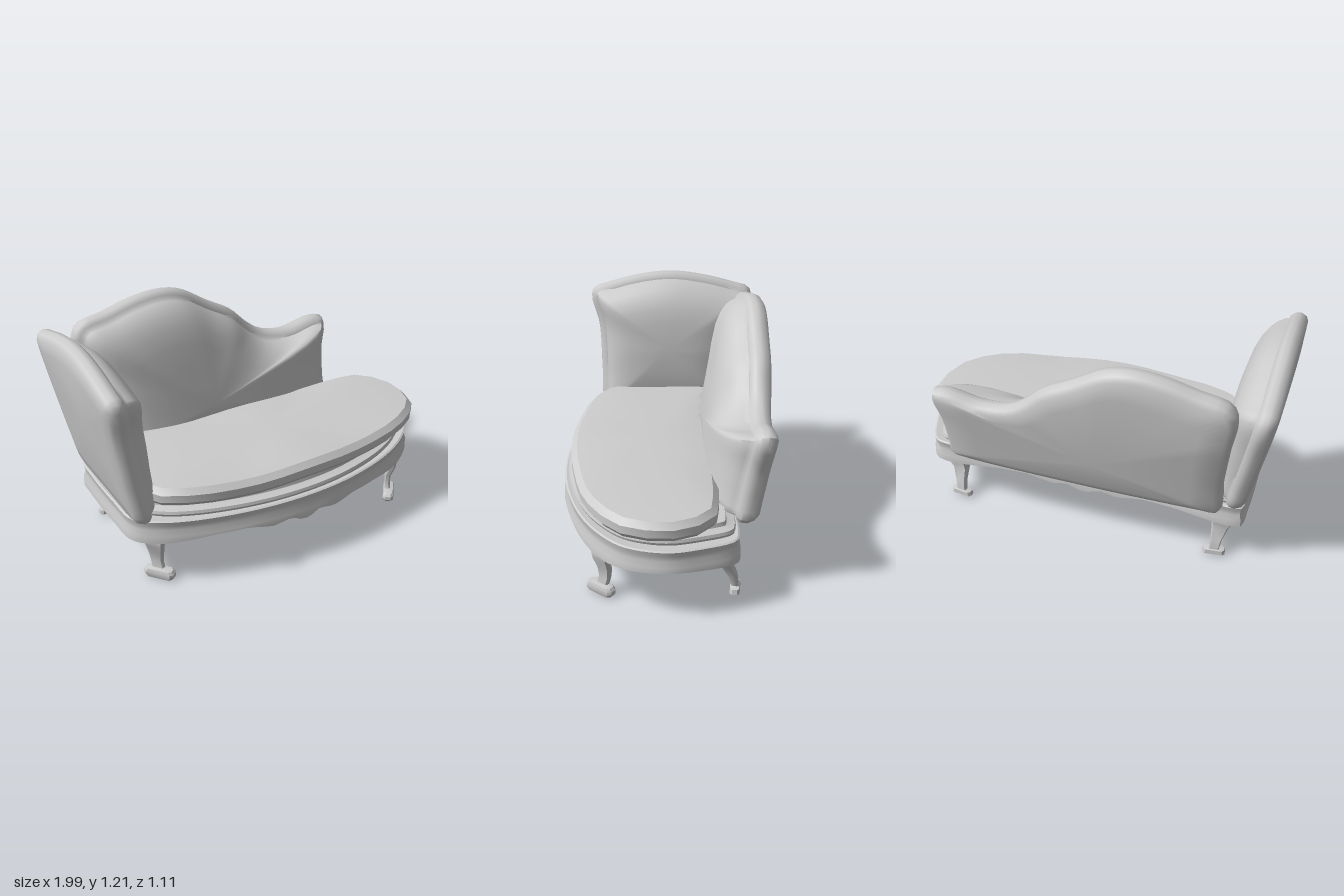
import * as THREE from 'three';
import { toCreasedNormals } from 'three/addons/utils/BufferGeometryUtils.js';

const material = new THREE.MeshStandardMaterial({ color: 0xcccccc });

// Skin a stack of closed rings (arrays of Vector3), facing outward.
function loft(name, rings, crease) {
  const tris = [];
  const add = (a, b, c) => {
    const t = new THREE.Triangle(a, b, c);
    if (t.getArea() > 1e-9) tris.push([a, b, c]);
  };
  for (let i = 0; i < rings.length - 1; i++) {
    const p = rings[i], q = rings[i + 1], n = p.length;
    for (let j = 0; j < n; j++) {
      const k = (j + 1) % n;
      add(p[j], p[k], q[k]);
      add(p[j], q[k], q[j]);
    }
  }
  const cross = new THREE.Vector3();
  const volume = tris.reduce((s, [a, b, c]) => s + a.dot(cross.crossVectors(b, c)), 0);
  const points = tris.flatMap(([a, b, c]) => (volume < 0 ? [a, c, b] : [a, b, c]));
  const geometry = toCreasedNormals(new THREE.BufferGeometry().setFromPoints(points), crease);
  const mesh = new THREE.Mesh(geometry, material);
  mesh.name = name;
  return mesh;
}

// Even, smooth samples round a closed outline, wound counter-clockwise.
function outline(points, count) {
  const curve = new THREE.CatmullRomCurve3(points.map(([a, b]) => new THREE.Vector3(a, b, 0)), true);
  const out = curve.getSpacedPoints(count).slice(0, count).map((p) => new THREE.Vector2(p.x, p.y));
  return THREE.ShapeUtils.area(out) < 0 ? out.reverse() : out;
}

// Copy of an outline moved inward, then scaled about a centre.
function shrink(loop, inset, scale, centre) {
  return loop.map((p, i) => {
    const a = loop[(i + loop.length - 1) % loop.length], b = loop[(i + 1) % loop.length];
    const t = b.clone().sub(a).normalize();
    return new THREE.Vector2(p.x - t.y * inset, p.y + t.x * inset).sub(centre).multiplyScalar(scale).add(centre);
  });
}

// Profile rows are [inset, scale, depth]; place turns (a, b, depth) into a point.
function solid(name, loop, centre, profile, place, crease) {
  const c = new THREE.Vector2(...centre);
  return loft(name, profile.map(([inset, scale, depth]) =>
    shrink(loop, inset, scale, c).map((p) => place(p.x, p.y, depth))), crease);
}

// Linear interpolation through [input, output] pairs.
function ramp(pairs, v) {
  if (v <= pairs[0][0]) return pairs[0][1];
  for (let i = 1; i < pairs.length; i++) {
    const [x0, y0] = pairs[i - 1], [x1, y1] = pairs[i];
    if (v <= x1) return y0 + ((y1 - y0) * (v - x0)) / (x1 - x0);
  }
  return pairs[pairs.length - 1][1];
}

// Rounded outer roll swelling into a padded face
const upholstery = [
  [0.03, 0, -0.07], [0.03, 0.8, -0.07], [0.04, 1, -0.062], [0.015, 1, -0.045],
  [0, 1, -0.01], [0.005, 1, 0.025], [0.025, 1, 0.048], [0.04, 1, 0.052],
  [0.04, 0.985, 0.075], [0.04, 0.95, 0.108], [0.04, 0.88, 0.143], [0.04, 0.78, 0.174],
  [0.04, 0.62, 0.2], [0.04, 0.4, 0.215], [0.04, 0.2, 0.22], [0.04, 0, 0.222],
];

// Scalloped lower edge of the apron
const scallop = [
  [0, 0.232], [0.04, 0.24], [0.08, 0.265], [0.13, 0.258], [0.18, 0.245], [0.24, 0.255],
  [0.32, 0.272], [0.5, 0.268], [0.62, 0.255], [0.75, 0.243], [0.86, 0.243], [0.95, 0.253], [1, 0.26],
];

// Leg sections: [y, x, z, width, thickness]
const frontLeg = [
  [0.29, 0.75, 0.29, 0, 0], [0.29, 0.75, 0.29, 0.09, 0.04], [0.24, 0.757, 0.313, 0.125, 0.045],
  [0.2, 0.752, 0.315, 0.1, 0.04], [0.14, 0.74, 0.3, 0.08, 0.035], [0.09, 0.737, 0.3, 0.065, 0.03],
  [0.055, 0.735, 0.31, 0.065, 0.03], [0.05, 0.735, 0.322, 0.14, 0.05], [0.035, 0.735, 0.322, 0.165, 0.06],
  [0.015, 0.735, 0.322, 0.165, 0.06], [0, 0.735, 0.322, 0.14, 0.05], [0, 0.735, 0.322, 0, 0],
];
const backLeg = [
  [0.3, 0.77, -0.3, 0, 0], [0.3, 0.77, -0.3, 0.14, 0.06], [0.24, 0.765, -0.3, 0.13, 0.06],
  [0.17, 0.75, -0.295, 0.09, 0.05], [0.1, 0.74, -0.33, 0.06, 0.04], [0.045, 0.735, -0.342, 0.055, 0.035],
  [0.04, 0.735, -0.342, 0.11, 0.045], [0.015, 0.735, -0.342, 0.12, 0.05], [0.01, 0.735, -0.342, 0, 0],
];

// Flat curved leg, its broad face turned by an angle about the vertical
function leg(name, sections, side, angle) {
  const corners = [[-1, -0.5], [-0.8, -1], [0.8, -1], [1, -0.5], [1, 0.5], [0.8, 1], [-0.8, 1], [-1, 0.5]];
  const c = Math.cos(angle), s = Math.sin(angle);
  return loft(name, sections.map(([y, x, z, w, d]) => corners.map(([a, b]) => {
    const u = (a * w) / 2, v = (b * d) / 2;
    return new THREE.Vector3(side * (x + u * c + v * s), y, z - u * s + v * c);
  })), 0.6);
}

export function createModel() {
  const group = new THREE.Group();
  const flat = (x, z, y) => new THREE.Vector3(x, y, z);

  // Apron frame with a recessed underside; depth 0 follows the scalloped edge
  const base = outline([
    [-0.86, -0.35], [-0.875, -0.2], [-0.875, 0.1], [-0.86, 0.28], [-0.77, 0.37], [-0.6, 0.45], [-0.3, 0.525],
    [0, 0.55], [0.3, 0.525], [0.6, 0.44], [0.8, 0.33], [0.93, 0.2], [0.985, 0], [0.95, -0.17], [0.88, -0.33],
    [0.82, -0.355], [0.4, -0.345], [0, -0.345], [-0.4, -0.345], [-0.82, -0.36],
  ], 128);
  group.add(solid('apron', base, [0, 0.05], [
    [0.06, 0, 0.365], [0.06, 1, 0.365], [0.015, 1, 0.37], [0.006, 1, 0.365], [0.012, 1, 0.34],
    [0.014, 1, 0.315], [0.002, 1, 0.285], [0, 1, 0], [0.045, 1, 0], [0.07, 1, 0.325], [0.07, 0, 0.325],
  ], (x, z, y) => flat(x, z, y || ramp(scallop, Math.abs(x))), 0.6));

  // Seat platform: a rounded moulding with a smaller step above it
  group.add(solid('seatPlatform', base, [0, 0.05], [
    [0.05, 0, 0.36], [0.05, 1, 0.36], [0.03, 1, 0.372], [0.025, 1, 0.385], [0.03, 1, 0.4],
    [0.055, 1, 0.405], [0.07, 1, 0.41], [0.075, 1, 0.43], [0.075, 0, 0.43],
  ], (x, z, y) => flat(x > 0 ? x * 0.965 : x * 0.94, z, y), 0.6));

  // Seat cushion
  const seat = outline([
    [-0.78, -0.255], [-0.79, 0], [-0.78, 0.26], [-0.74, 0.335], [-0.58, 0.43], [-0.35, 0.48], [-0.1, 0.505], [0.2, 0.495],
    [0.45, 0.455], [0.65, 0.41], [0.82, 0.33], [0.95, 0.21], [1, 0], [0.95, -0.15], [0.86, -0.235], [0.7, -0.255],
    [0.3, -0.26], [-0.3, -0.26],
  ], 36);
  group.add(solid('seatCushion', seat, [0.05, 0.08], [
    [0.06, 0, 0.415], [0.06, 1, 0.415], [0.02, 1, 0.43], [0, 1, 0.455], [0, 1, 0.495],
    [0.03, 1, 0.523], [0.04, 0.85, 0.53], [0.04, 0.5, 0.538], [0.04, 0, 0.54],
  ], (x, z, y) => flat(x, z, y + 0.005 * Math.sin(x * 9 + 1)), 0.6));

  // Long sweeping back, leaning backward
  const backLoop = outline([
    [-0.75, 0.37], [-0.765, 0.6], [-0.79, 0.85], [-0.81, 1.04], [-0.77, 1.11], [-0.62, 1.15], [-0.45, 1.195],
    [-0.3, 1.21], [-0.17, 1.185], [0, 1.085], [0.15, 1], [0.25, 0.905], [0.34, 0.845], [0.5, 0.822], [0.68, 0.856],
    [0.76, 0.842], [0.77, 0.77], [0.745, 0.67], [0.735, 0.5], [0.73, 0.38], [0.65, 0.36], [0, 0.36], [-0.65, 0.36],
  ], 96);
  const backLean = [[0.37, -0.39], [0.6, -0.43], [0.85, -0.474], [1, -0.482], [1.21, -0.485]];
  group.add(solid('backrest', backLoop, [-0.1, 0.58], upholstery,
    (x, y, d) => new THREE.Vector3(x, y, ramp(backLean, y) + d - 0.007 * Math.cos(x * 4)), 1));

  // Raised head end, leaning outward, its padding thinner toward the seat
  const headLoop = outline([
    [0.37, 0.38], [0.385, 0.6], [0.4, 0.88], [0.443, 1.04], [0.43, 1.1], [0.36, 1.125], [0.15, 1.18], [-0.05, 1.2],
    [-0.25, 1.175], [-0.43, 1.13], [-0.52, 1.1], [-0.54, 1.03], [-0.49, 0.8], [-0.43, 0.55], [-0.39, 0.4],
    [-0.33, 0.365], [0, 0.36], [0.32, 0.36],
  ], 80);
  const headLean = [[0.37, -0.81], [0.6, -0.855], [0.85, -0.9], [1.1, -0.94], [1.2, -0.943]];
  const headPadding = [[0.45, 0.55], [0.75, 0.76], [1, 0.85]];
  group.add(solid('headrest', headLoop, [-0.03, 0.78], upholstery, (z, y, d) => {
    const roll = Math.min(d, 0.052), pad = d - roll;
    return new THREE.Vector3(ramp(headLean, y) + roll * 0.85 + pad * ramp(headPadding, y), y, z);
  }, 1));

  // Four curved legs, the front pair turned toward the corners
  for (const [label, side] of [['Left', 1], ['Right', -1]]) {
    group.add(leg('front' + label + 'Leg', frontLeg, side, 0.88));
    group.add(leg('back' + label + 'Leg', backLeg, side, -0.12));
  }
  return group;
}
